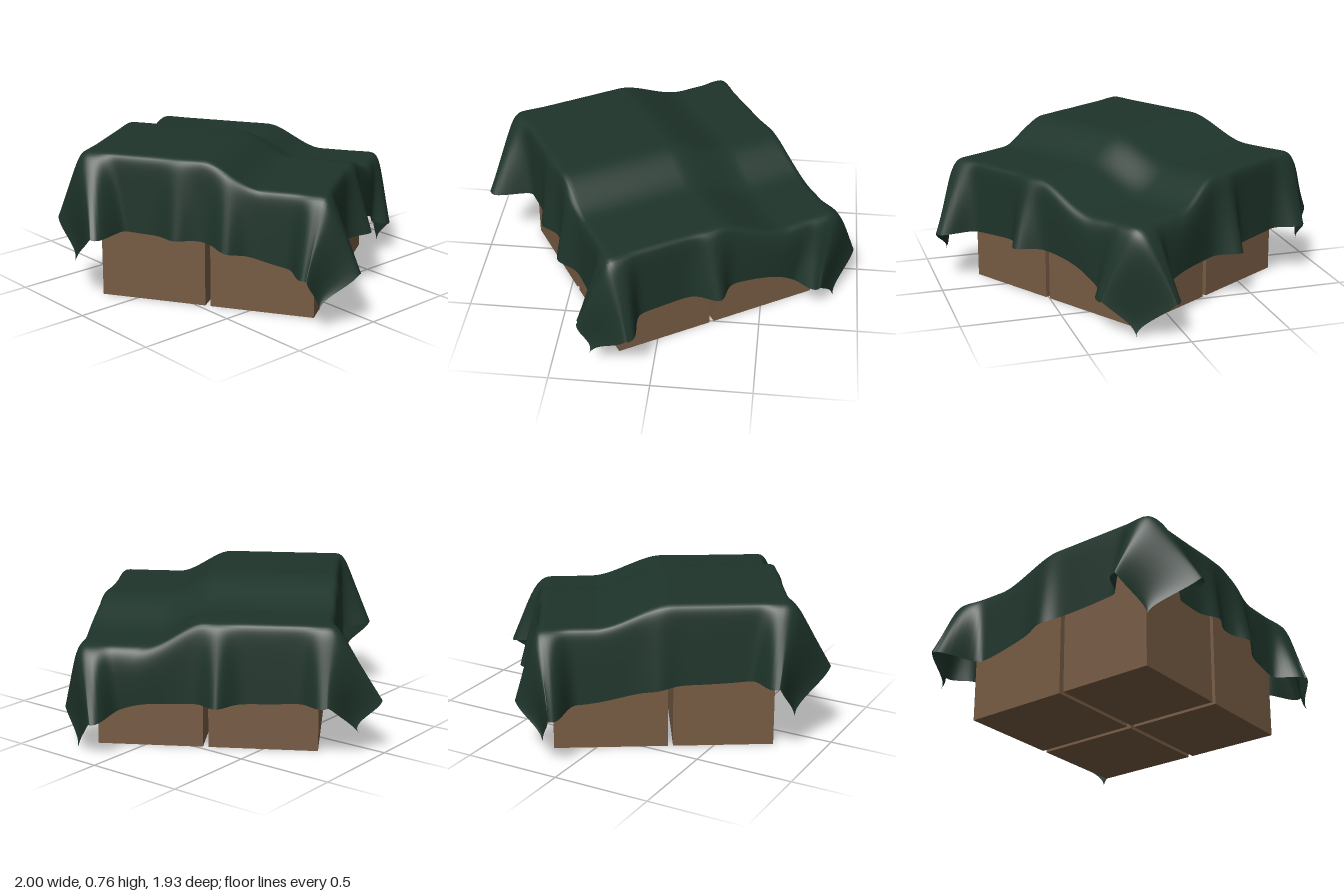
import * as THREE from 'three';

const EDGE = 0.585;   // half width of the cloth lying on the boxes
const HANG = 0.405;   // length of cloth hanging over each edge
const CELL = 0.015;

const { lerp, clamp, smoothstep } = THREE.MathUtils;
const bell = (x, w, power = 2) => Math.exp(-(Math.abs(x / w) ** power));
const fade = (x) => 1 - smoothstep(x, 0, 1);

// Height of the cloth over the four boxes; the slopes widen towards the hem (low = 1)
function clothHeight(u, v, low) {
  const du = smoothstep(u, lerp(0, -0.08, low), lerp(0.29, 0.58, low));
  const dv = smoothstep(-v, lerp(-0.04, -0.12, low), lerp(0.34, 0.52, low));
  return 0.77 - 0.12 * du - 0.115 * dv;
}

// Corner ears: outward flare and sideways shift on the two meeting sides,
// then the position of the hanging point and how much it is lifted
const corners = [
  { su: -1, sv: 1, u: [0.15, 0.05], v: [0.2, 0.1], tip: [0.075, 0.05], lift: 0.18 },
  { su: -1, sv: -1, u: [0.215, 0.025], v: [0.1, 0], tip: [0.16, 0.01], lift: 0.22 },
  { su: 1, sv: 1, u: [0.15, -0.01], v: [0.13, 0.03], tip: [0.03, 0.15], lift: 0.22 },
  { su: 1, sv: -1, u: [0.09, 0.1], v: [0.165, 0.05], tip: [0.05, 0.05], lift: 0.19 },
];

// Each side: folds as [position, depth], sag of the hem,
// and an optional wide rounded bulge over the edge as [position, radius]
const sides = {
  'u1': { folds: [[0.08, 0.1]], sag: -0.03, bulge: [-0.28, 0.055] },
  'u-1': { folds: [[-0.03, 0.03]], sag: 0.03, bulge: [0, 0] },
  'v1': { folds: [[0.14, 0.07], [-0.12, 0.05]], sag: 0.018, bulge: [0, 0] },
  'v-1': { folds: [[-0.06, 0.1]], sag: 0.02, bulge: [0.36, 0.065] },
};

// Movement of a hanging side, s running 0 to 1 down to the hem
function drape(axis, sign, along, s) {
  if (s <= 0) return { out: 0, shift: 0, drop: 0 };
  const { folds, sag, bulge } = sides[axis + sign];
  const swell = bulge[1] * bell(along - bulge[0], 0.22);
  const radius = 0.03 + swell;
  let flare = 0.015 - 0.6 * swell, shift = 0;
  for (const [pos, depth] of folds) flare += depth * bell(along - pos, 0.07);
  for (const c of corners) {
    if ((axis === 'u' ? c.su : c.sv) !== sign) continue;
    const end = axis === 'u' ? c.sv : c.su;
    const d = along - end * EDGE;
    flare += c[axis][0] * bell(d, 0.085, 3);
    shift -= end * c[axis][1] * bell(d, 0.2);
  }
  const bend = radius * (1 - Math.exp(-HANG * s / radius));
  const hem = HANG + sag * (1 - (along / EDGE) ** 2);
  return { out: flare * s + bend, shift: shift * s, drop: hem * s - bend };
}

function buildCloth() {
  const size = 2 * (EDGE + HANG);
  const n = Math.round(size / CELL);
  const geo = new THREE.PlaneGeometry(size, size, n, n).rotateX(-Math.PI / 2);
  const pos = geo.attributes.position;
  for (let i = 0; i < pos.count; i++) {
    const p = pos.getX(i), q = pos.getZ(i);
    const su = p < 0 ? -1 : 1, sv = q < 0 ? -1 : 1;
    const u = clamp(p, -EDGE, EDGE);
    const v = clamp(q, -EDGE, EDGE);
    const s = Math.max(0, Math.abs(p) - EDGE) / HANG;
    const t = Math.max(0, Math.abs(q) - EDGE) / HANG;
    const a = drape('u', su, v, s);
    const b = drape('v', sv, u, t);
    const { tip, lift } = corners.find((c) => c.su === su && c.sv === sv);
    pos.setXYZ(i,
      u + su * (a.out * fade(t) + tip[0] * s * t) + b.shift * fade(s),
      clothHeight(u, v, Math.max(s, t)) - a.drop - b.drop + lift * s * t,
      v + sv * (b.out * fade(s) + tip[1] * s * t) + a.shift * fade(t));
  }
  geo.computeVertexNormals();
  return geo;
}

export function createModel() {
  const clothMat = new THREE.MeshStandardMaterial({ color: 0x1e342a, side: THREE.DoubleSide });
  clothMat.name = 'dark green cloth';
  const boxMat = new THREE.MeshStandardMaterial({ color: 0x765b43 });
  boxMat.name = 'brown crate';

  const model = new THREE.Group();
  model.name = 'coveredCrates';
  model.rotation.y = THREE.MathUtils.degToRad(31.5);
  model.position.x = 0.022;

  // Four crates of stepped height with narrow gaps between them
  const base = 0.006;
  const spansU = [[-0.5475, -0.005], [0.022, 0.5475]];
  const spansV = [[-0.5475, 0.02], [0.045, 0.5475]];
  for (const [u0, u1] of spansU) for (const [v0, v1] of spansV) {
    const h = clothHeight(Math.sign(u0 + u1), Math.sign(v0 + v1), 0) - 0.02 - base;
    const crate = new THREE.Mesh(new THREE.BoxGeometry(u1 - u0, h, v1 - v0), boxMat);
    crate.position.set((u0 + u1) / 2, base + h / 2, (v0 + v1) / 2);
    crate.name = 'crate';
    model.add(crate);
  }

  const cloth = new THREE.Mesh(buildCloth(), clothMat);
  cloth.name = 'drapedCloth';
  model.add(cloth);

  const root = new THREE.Group();
  root.add(model);
  return root;
}
